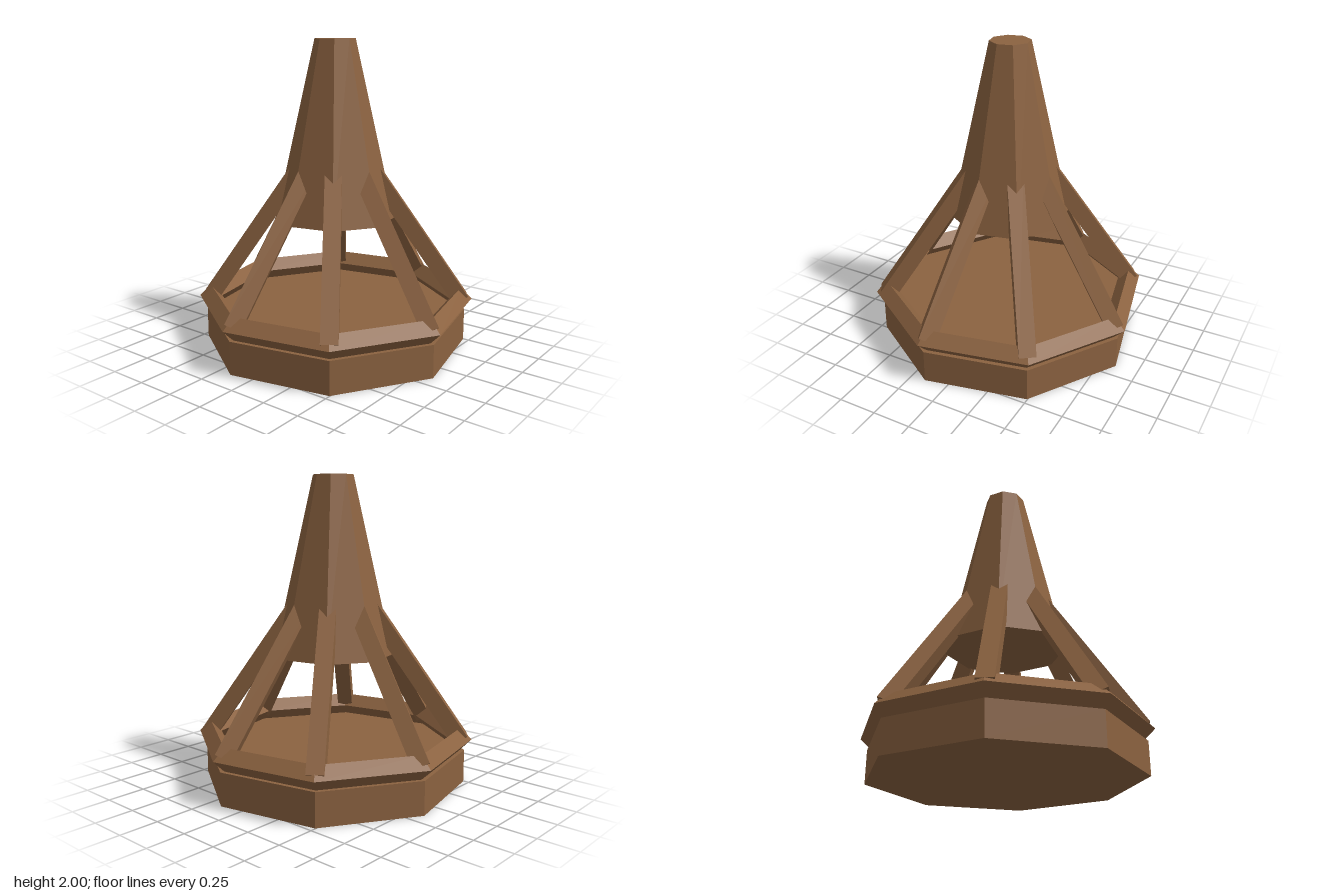
import * as THREE from 'three';

const SIDES = 8;
const RING_RADIUS = 0.84;
const TUBE = 0.075;

export function createModel() {
  const model = new THREE.Group();
  model.name = 'timberTower';

  const wood = new THREE.MeshStandardMaterial({ color: 0x8b6240, flatShading: true });
  wood.name = 'brown wood';

  const add = (name, geometry, y = 0) => {
    const mesh = new THREE.Mesh(geometry, wood);
    mesh.name = name;
    mesh.position.y = y;
    model.add(mesh);
    return mesh;
  };

  // Octagonal base drum
  add('base', new THREE.CylinderGeometry(0.868, 0.868, 0.215, SIDES), 0.1075);

  // Diamond-section rim resting on the base
  add('rim', new THREE.TorusGeometry(RING_RADIUS, TUBE, 4, SIDES).rotateX(Math.PI / 2), 0.29);

  // Tapered spire hanging above the base
  add('spire', new THREE.CylinderGeometry(0.13, 0.39, 1.155, SIDES), 1.4225);

  // Square struts leaning from each rim corner into the spire
  const up = new THREE.Vector3(0, 1, 0);
  for (let i = 0; i < SIDES; i++) {
    const angle = (i / SIDES) * Math.PI * 2;
    const at = (r, y) => new THREE.Vector3(Math.sin(angle) * r, y, Math.cos(angle) * r);
    const foot = at(RING_RADIUS, 0.29);
    const head = at(0.2, 1.22);
    const span = head.clone().sub(foot);
    const strut = add('strut' + (i + 1), new THREE.CylinderGeometry(TUBE, TUBE, span.length(), 4));
    strut.position.copy(foot).add(head).multiplyScalar(0.5);
    strut.quaternion.setFromUnitVectors(up, span.normalize());
  }

  // Whole tower is turned slightly
  model.rotation.y = -0.176;
  const root = new THREE.Group();
  root.name = 'tower';
  root.add(model);
  return root;
}
